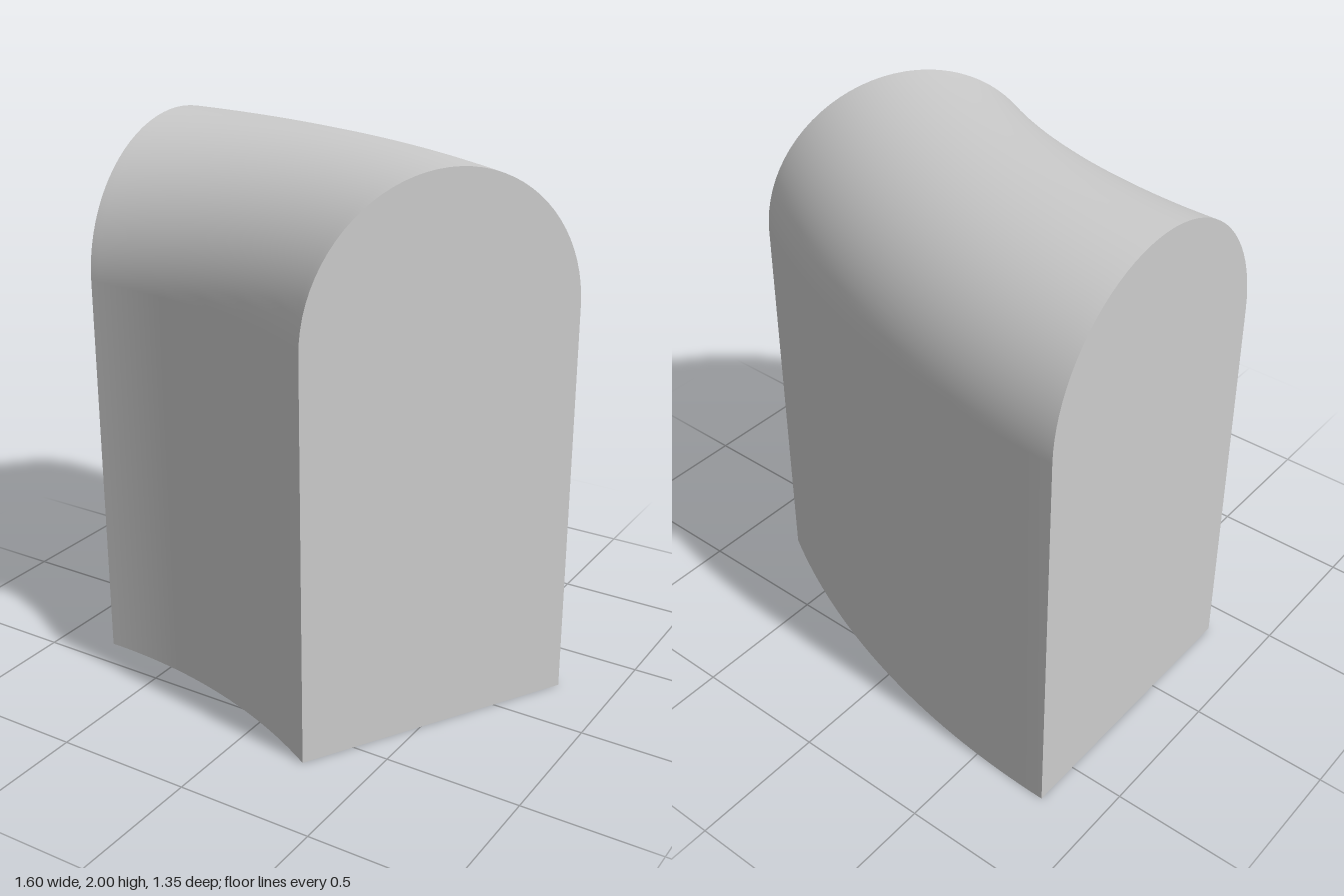
import * as THREE from 'three';

// Curved vault: a round-topped profile swept through 30 degrees
const CX = -0.797, CZ = 2.513;
const R_IN = 2.127, R_OUT = 3.19, WALL = 0.127;
const SWEEP = Math.PI / 6, STEPS = 32, ARC = 40;
const R_MID = (R_IN + R_OUT) / 2, RAD = (R_OUT - R_IN) / 2, SPRING = 2 - RAD;

// Arch outline as [distance from sweep axis, height]
function archProfile(radius) {
  const pts = [[R_MID - radius, 0]];
  for (let i = 0; i <= ARC; i++) {
    const t = Math.PI * (1 - i / ARC);
    pts.push([R_MID + radius * Math.cos(t), SPRING + radius * Math.sin(t)]);
  }
  pts.push([R_MID + radius, 0]);
  return pts;
}

// Sweep an open profile round the axis
function sweep(profile) {
  const pos = [], idx = [], row = STEPS + 1;
  for (const [r, y] of profile) {
    for (let j = 0; j <= STEPS; j++) {
      const a = SWEEP * j / STEPS;
      pos.push(CX + r * Math.sin(a), y, CZ - r * Math.cos(a));
    }
  }
  for (let i = 0; i < profile.length - 1; i++) {
    for (let j = 0; j < STEPS; j++) {
      const a = i * row + j, b = a + 1, c = a + row, d = c + 1;
      idx.push(a, b, c, b, d, c);
    }
  }
  const g = new THREE.BufferGeometry();
  g.setAttribute('position', new THREE.Float32BufferAttribute(pos, 3));
  g.setIndex(idx);
  g.computeVertexNormals();
  return g;
}

export function createModel() {
  const group = new THREE.Group();
  group.name = 'curvedVault';
  const grey = new THREE.MeshStandardMaterial({ color: 0xcccccc, side: THREE.DoubleSide });
  grey.name = 'light grey';

  const add = (name, geometry) => {
    const mesh = new THREE.Mesh(geometry, grey);
    mesh.name = name;
    group.add(mesh);
    return mesh;
  };

  // Outer skin and hollow inside
  add('outerShell', sweep(archProfile(RAD)));
  add('innerShell', sweep(archProfile(RAD - WALL).reverse()));

  // Undersides of the two walls
  add('frontWallBase', sweep([[R_IN + WALL, 0], [R_IN, 0]]));
  add('backWallBase', sweep([[R_OUT, 0], [R_OUT - WALL, 0]]));

  // Flat end panels
  const endShape = new THREE.Shape(archProfile(RAD).map(([r, y]) => new THREE.Vector2(r, y)));
  for (const [name, angle] of [['rightEnd', 0], ['leftEnd', SWEEP]]) {
    const geometry = new THREE.ShapeGeometry(endShape);
    if (angle === 0) {
      // Face this panel away from the body
      const ix = geometry.index;
      for (let i = 0; i < ix.count; i += 3) {
        const b = ix.getX(i + 1);
        ix.setX(i + 1, ix.getX(i + 2));
        ix.setX(i + 2, b);
      }
      geometry.computeVertexNormals();
    }
    const end = add(name, geometry);
    end.position.set(CX, 0, CZ);
    end.rotation.y = Math.PI / 2 - angle;
  }
  return group;
}
